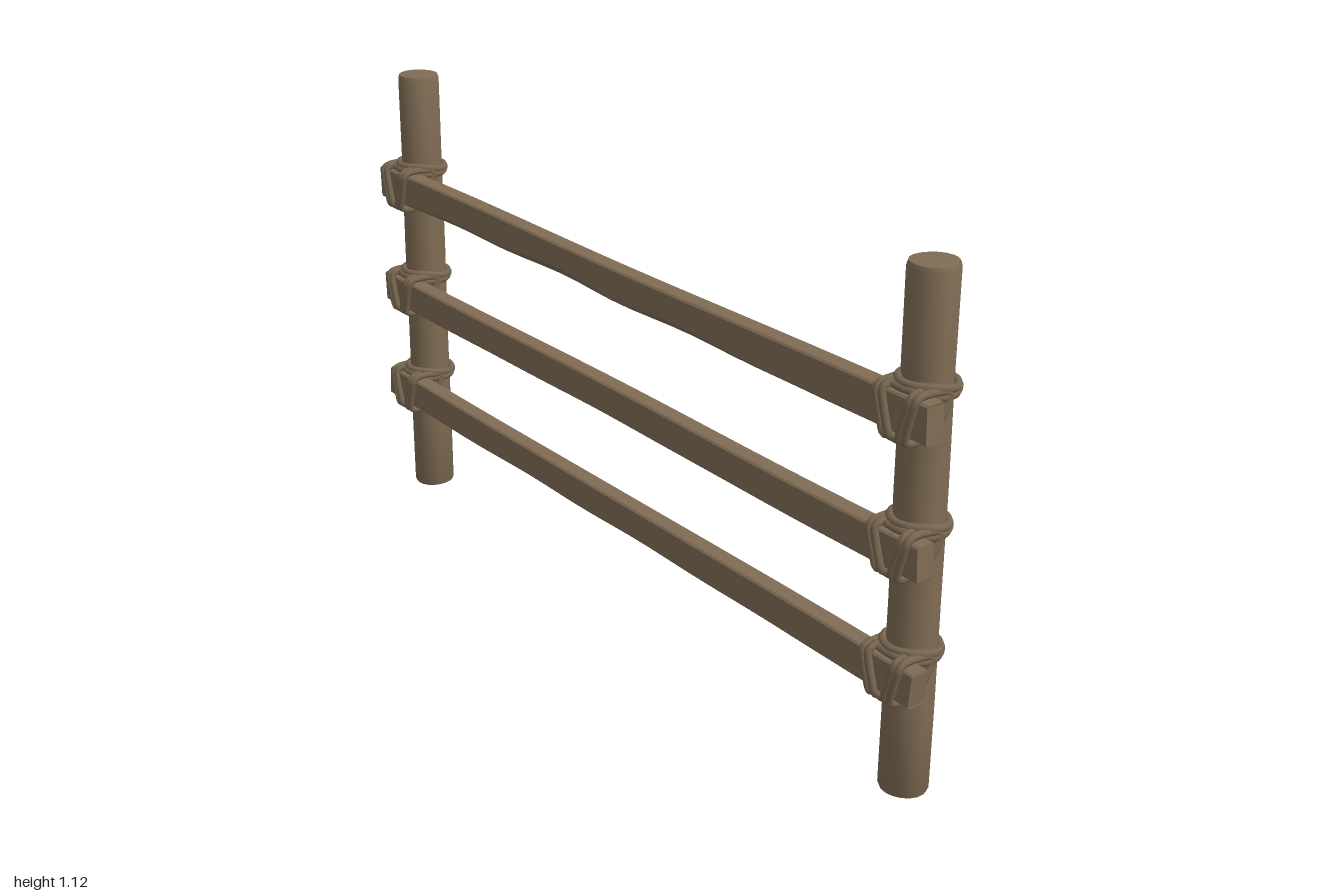
import * as THREE from 'three';
import { toCreasedNormals } from 'three/addons/utils/BufferGeometryUtils.js';

const POST_X = 0.917, POST_Z = -0.013, POST_R = 0.052, RAIL_Z = 0.042;

// Round post with softened rims and a slightly uneven, hand-cut surface
function postGeometry(seed) {
  const profile = [
    [0, 0], [0.049, 0], [POST_R, 0.008], [POST_R, 0.2], [0.051, 0.42], [POST_R, 0.66],
    [0.0505, 0.9], [0.051, 1.108], [0.048, 1.118], [0, 1.121],
  ].map(([r, y]) => new THREE.Vector2(r, y));
  const geo = new THREE.LatheGeometry(profile, 18);
  const p = geo.attributes.position;
  for (let i = 0; i < p.count; i++) {
    const x = p.getX(i), y = p.getY(i), z = p.getZ(i);
    const k = 1 + 0.018 * Math.sin(3 * Math.atan2(z, x) + y * 5 + seed);
    p.setXYZ(i, x * k + 0.002 * Math.sin(y * 4 + seed), y, z * k);
  }
  return toCreasedNormals(geo, 0.6);
}

// Squared rail: chamfered plank whose lower front edge is worn away in the middle
function railGeometry(height, depth, wear, seed) {
  const geo = new THREE.BoxGeometry(1.99, height, depth, 28, 3, 3);
  const p = geo.attributes.position;
  const h = height / 2, d = depth / 2;
  for (let i = 0; i < p.count; i++) {
    const x = p.getX(i);
    let y = p.getY(i), z = p.getZ(i);
    const lowFront = y < 0 && z > 0;
    const worn = Math.max(0, Math.cos(x * 1.9 + 0.25)) * (0.7 + 0.3 * Math.sin(x * 13 + seed));
    const bevel = 0.004 + (lowFront ? wear * worn : 0);
    const outerY = Math.abs(y) > h * 0.9, outerZ = Math.abs(z) > d * 0.9;
    const sy = Math.sign(y), sz = Math.sign(z);
    if (outerY && outerZ) {
      y = sy * (h - bevel / 2);
      z = sz * (d - bevel / 2);
    } else {
      if (!outerY) y = sy * (h - bevel);
      if (!outerZ) z = sz * (d - bevel);
    }
    y += 0.002 * Math.sin(x * 4 + seed);
    z += 0.001 * Math.sin(x * 6 + seed * 2);
    p.setXYZ(i, x + (Math.abs(x) > 0.99 ? 0.004 * Math.sin(y * 60 + seed) : 0), y, z);
  }
  const flat = geo.toNonIndexed();
  flat.computeVertexNormals();
  return flat;
}

function ropeGeometry(points, radius, closed) {
  const curve = new THREE.CatmullRomCurve3(
    points.map((q) => new THREE.Vector3(...q)), closed, 'catmullrom', 0.35);
  return new THREE.TubeGeometry(curve, 56, radius, 7, closed);
}

// Points of a coil around the post that dips and tilts a little
function coil(y, tilt) {
  const pts = [];
  for (let i = 0; i < 16; i++) {
    const a = (i / 16) * Math.PI * 2;
    pts.push([
      Math.cos(a) * 0.056, y + tilt * Math.sin(a) + 0.002 * Math.sin(a * 3),
      POST_Z + Math.sin(a) * 0.057,
    ]);
  }
  return pts;
}

// Lashing: two coils around the post and tapering slings around the rail
function lashing(material, h) {
  const group = new THREE.Group();
  const add = (name, geo) => {
    const mesh = new THREE.Mesh(geo, material);
    mesh.name = name;
    group.add(mesh);
  };
  add('upperPostCoil', ropeGeometry(coil(h + 0.011, 0.006), 0.009, true));
  add('lowerPostCoil', ropeGeometry(coil(h - 0.004, -0.005), 0.009, true));
  const f = 0.069;
  for (const s of [-1, 1]) {
    for (const [inset, name] of [[0, 'outerSling'], [0.015, 'innerSling']]) {
      const top = s * (0.051 - inset), low = s * (0.03 - inset);
      add(name, ropeGeometry([
        [s * 0.056, h + 0.006, -0.01], [top, h + 0.01, 0.03], [top, h + 0.008, 0.058],
        [top * 0.98, h - 0.006, f], [low, -h + 0.002, f], [low, -h - 0.011, 0.058],
        [low, -h - 0.012, 0.03], [s * 0.04, -h + 0.004, 0.012],
        [s * 0.056, -0.005, 0.006], [s * 0.057, h - 0.012, -0.01],
      ], 0.0085, true));
    }
  }
  // Strands crossing above and beneath the rail
  add('topStrand', ropeGeometry(
    [[-0.052, h + 0.009, 0.046], [0, h + 0.007, 0.05], [0.052, h + 0.009, 0.046]], 0.008, false));
  add('bottomStrand', ropeGeometry(
    [[-0.028, -h - 0.009, 0.058], [0, -h - 0.011, 0.06], [0.028, -h - 0.009, 0.058]], 0.008, false));
  return group;
}

export function createModel() {
  const wood = new THREE.MeshStandardMaterial({ color: 0x7f6c54 });
  wood.name = 'weathered wood';
  const rope = new THREE.MeshStandardMaterial({ color: 0x776650 });
  rope.name = 'brown rope';

  const model = new THREE.Group();
  model.name = 'railFence';

  for (const s of [-1, 1]) {
    const post = new THREE.Mesh(postGeometry(s * 1.3), wood);
    post.name = s > 0 ? 'leftPost' : 'rightPost';
    post.position.set(s * POST_X, 0, POST_Z);
    model.add(post);
  }

  const rails = [
    { name: 'bottomRail', y: 0.28, height: 0.078, wear: 0.008 },
    { name: 'middleRail', y: 0.551, height: 0.076, wear: 0.003 },
    { name: 'topRail', y: 0.834, height: 0.08, wear: 0.02 },
  ];
  rails.forEach(({ name, y, height, wear }, i) => {
    const rail = new THREE.Mesh(railGeometry(height, 0.044, wear, i * 2.1), wood);
    rail.name = name;
    rail.position.set(0, y, RAIL_Z);
    model.add(rail);
    for (const s of [-1, 1]) {
      const tie = lashing(rope, height / 2);
      tie.name = name + (s > 0 ? 'LeftLashing' : 'RightLashing');
      tie.position.set(s * POST_X, y, 0);
      model.add(tie);
    }
  });
  return model;
}
